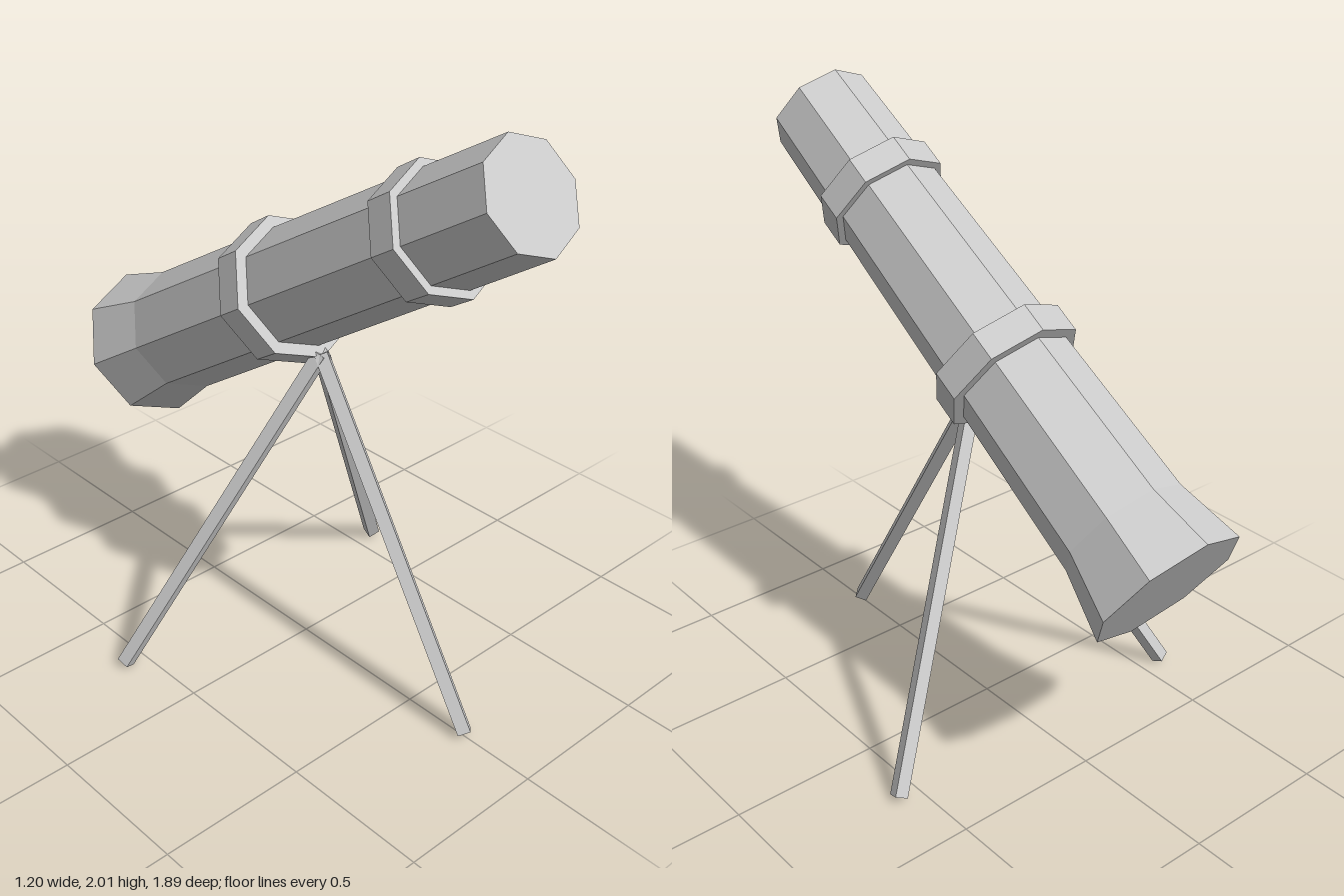
import * as THREE from 'three';

const grey = new THREE.MeshStandardMaterial({ color: 0xcccccc });
grey.name = 'paleGrey';
grey.flatShading = true;

// Faceted solid of revolution from [radius, height] points, bottom to top
function facetedSolid(name, profile, sides) {
  const points = profile.map(([r, y]) => new THREE.Vector2(r, y));
  const geometry = new THREE.LatheGeometry(points, sides).toNonIndexed();
  geometry.computeVertexNormals();
  const mesh = new THREE.Mesh(geometry, grey);
  mesh.name = name;
  return mesh;
}

const band = (name, r, y0, y1) =>
  facetedSolid(name, [[0, y0], [r, y0], [r, y1], [0, y1]], 8);

export function createModel() {
  const model = new THREE.Group();
  model.name = 'telescope';

  // Tilted octagonal tube, wide objective at the low rear end
  const tube = new THREE.Group();
  tube.name = 'tube';
  tube.add(facetedSolid('barrel', [
    [0, 0], [0.255, 0], [0.21, 0.225], [0.173, 1.959], [0, 1.959],
  ], 8));
  tube.add(band('rearBand', 0.235, 0.8, 0.9));
  tube.add(band('frontBand', 0.207, 1.525, 1.622));
  tube.position.set(0, 0.815, -0.808);
  tube.rotation.x = THREE.MathUtils.degToRad(57.8);
  model.add(tube);

  // Tripod: three diamond-section legs spread evenly around the apex
  const apexY = 1.105, footY = 0.0155, spread = 0.668;
  const length = Math.hypot(spread, apexY - footY);
  const tilt = Math.atan2(spread, apexY - footY);
  const tripod = new THREE.Group();
  tripod.name = 'tripod';
  ['frontLeg', 'leftLeg', 'rightLeg'].forEach((name, i) => {
    const pivot = new THREE.Group();
    const leg = facetedSolid(name, [[0, -length], [0.03, -length], [0.03, 0], [0, 0]], 4);
    leg.rotation.x = -tilt;
    pivot.name = name + 'Pivot';
    pivot.rotation.y = i * Math.PI * 2 / 3;
    pivot.add(leg);
    tripod.add(pivot);
  });
  tripod.position.set(0, apexY, 0.07);
  model.add(tripod);

  return model;
}
